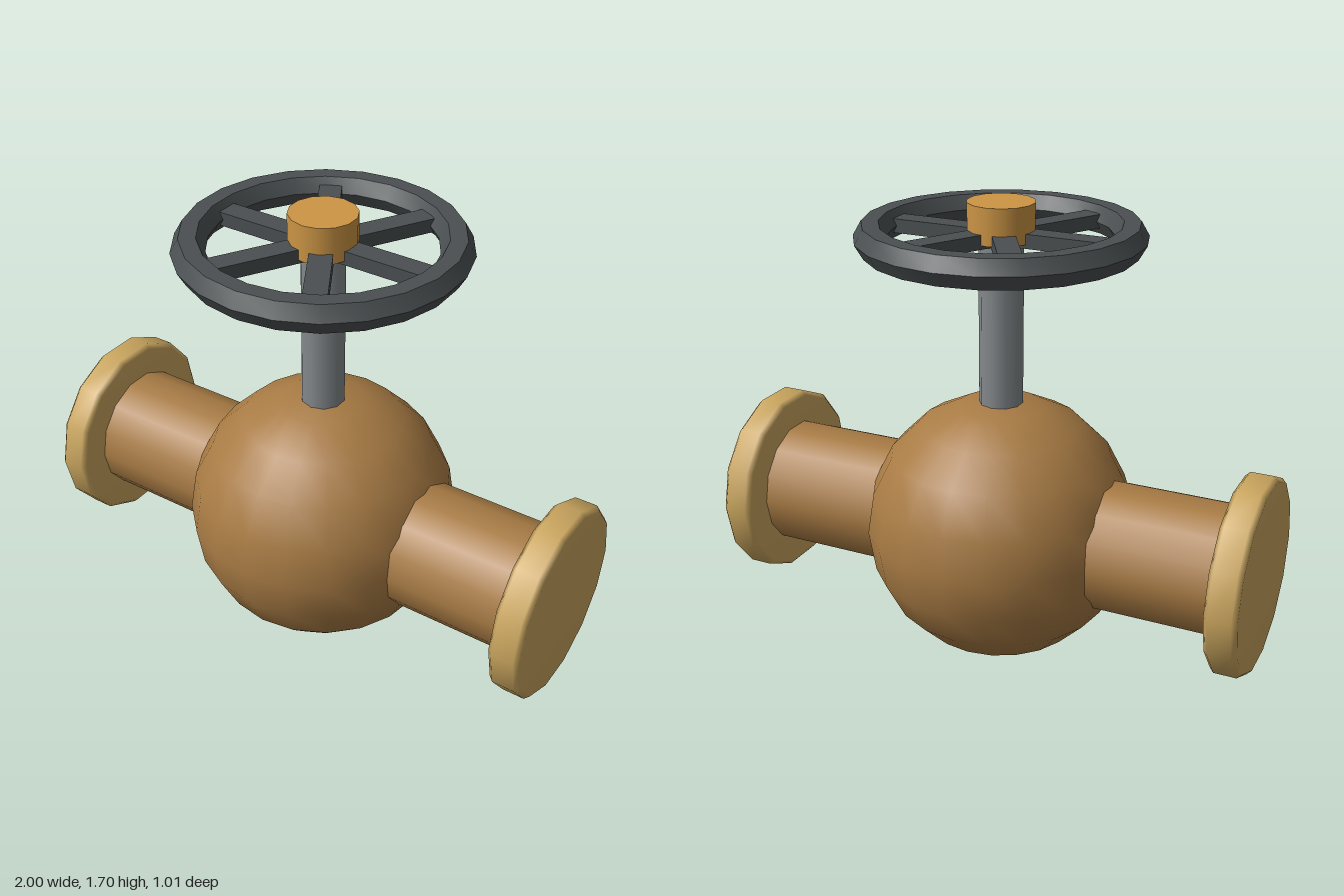
import * as THREE from 'three';
import { toCreasedNormals } from 'three/addons/utils/BufferGeometryUtils.js';

const material = (name, color) => {
  const m = new THREE.MeshStandardMaterial({ color });
  m.name = name;
  return m;
};

const lathe = (points, sides) =>
  new THREE.LatheGeometry(points.map(([r, y]) => new THREE.Vector2(r, y)), sides);

export function createModel() {
  const bronze = material('bronze', 0xa87b44);
  const paleBrass = material('pale brass', 0xc9a55e);
  const orangeBrass = material('orange brass', 0xcc9545);
  const iron = material('dark iron', 0x4a4f51);
  const steel = material('grey steel', 0x84898c);

  const model = new THREE.Group();
  model.name = 'valve';
  const add = (name, geometry, mat, x, y, parent = model) => {
    const mesh = new THREE.Mesh(geometry, mat);
    mesh.name = name;
    mesh.position.set(x, y, 0);
    parent.add(mesh);
    return mesh;
  };

  const axisY = 0.497;
  const wheelY = 1.587;

  // Round valve body
  add('body', new THREE.SphereGeometry(0.495, 20, 10), bronze, 0, axisY);

  // Pipe and soft-edged flange on each side
  const pipe = new THREE.CylinderGeometry(0.236, 0.236, 0.65, 14).rotateZ(-Math.PI / 2);
  const r = 0.357, h = 0.0575, b = 0.017;
  const flange = lathe(
    [[0, -h], [r - b, -h], [r, b - h], [r, h - b], [r - b, h], [0, h]], 14
  ).rotateZ(-Math.PI / 2);
  for (const side of [-1, 1]) {
    const label = side > 0 ? 'left' : 'right';
    add(label + 'Pipe', pipe, bronze, side * 0.575, axisY);
    add(label + 'Flange', flange, paleBrass, side * (1 - h), axisY);
  }

  // Stem
  add('stem', new THREE.CylinderGeometry(0.079, 0.079, 0.67, 10), steel, 0, 1.235);

  // Handwheel: six-sided rim section, crossing spokes and a hub
  const wheel = new THREE.Group();
  wheel.name = 'handwheel';
  wheel.position.y = wheelY;
  model.add(wheel);

  const section = [];
  for (let i = 0; i <= 6; i++) {
    const a = (i * Math.PI) / 3;
    section.push([0.447 + 0.0587 * Math.cos(a), 0.0587 * Math.sin(a)]);
  }
  add('rim', toCreasedNormals(lathe(section, 22), 0.7), iron, 0, 0, wheel);

  const bar = new THREE.BoxGeometry(0.83, 0.05, 0.08);
  for (let i = 0; i < 3; i++) {
    add('spokePair' + (i + 1), bar, iron, 0, 0, wheel).rotation.y = (i * Math.PI) / 3;
  }
  add('hub', new THREE.CylinderGeometry(0.119, 0.119, 0.13, 14), orangeBrass, 0, 0.054, wheel);

  return model;
}
